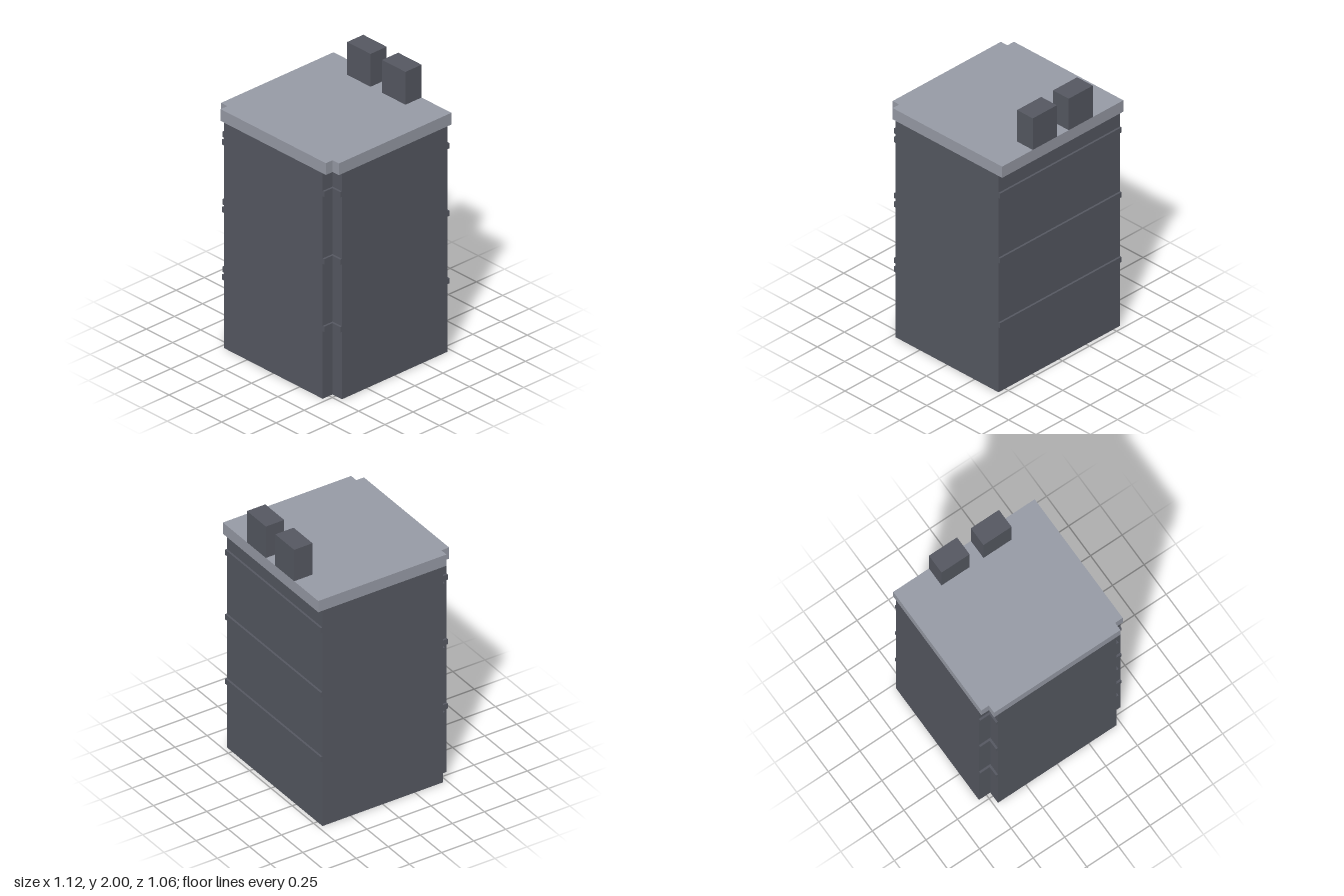
import * as THREE from 'three';

// Extrude a floor plan of [x, z] points upward from y0 to y1
function extrudePlan(points, y0, y1) {
  const shape = new THREE.Shape(points.map(([x, z]) => new THREE.Vector2(x, -z)));
  const geo = new THREE.ExtrudeGeometry(shape, { depth: y1 - y0, bevelEnabled: false });
  geo.rotateX(-Math.PI / 2);
  geo.translate(0, y0, 0);
  return geo;
}

// Rectangular plan with both front corners notched out
function notchedPlan(side, back, front, notchX, notchZ) {
  return [
    [-side, back], [side, back], [side, notchZ], [notchX, notchZ],
    [notchX, front], [-notchX, front], [-notchX, notchZ], [-side, notchZ],
  ];
}

export function createModel() {
  const model = new THREE.Group();
  const darkGrey = new THREE.MeshStandardMaterial({ color: 0x565962 });
  darkGrey.name = 'darkGrey';
  const lightGrey = new THREE.MeshStandardMaterial({ color: 0x989ca7 });
  lightGrey.name = 'lightGrey';

  function add(name, geometry, material) {
    const mesh = new THREE.Mesh(geometry, material);
    mesh.name = name;
    model.add(mesh);
  }

  const side = 0.56, front = 0.557, back = -0.47, notch = 0.47, lip = 0.015;

  // Tower body and overhanging roof slab
  add('body', extrudePlan(notchedPlan(side, back, front, notch, notch), 0, 1.67), darkGrey);
  add('roofSlab', extrudePlan(notchedPlan(side, -0.503, front, 0.5, 0.497), 1.67, 1.757), lightGrey);

  // Thin ledges across the back and inside the front corner notches
  for (const y of [0.5, 1.0, 1.5]) {
    const top = y + 0.04;
    add('backLedge', extrudePlan(
      [[-side, back - lip], [side, back - lip], [side, back], [-side, back]], y, top), darkGrey);
    for (const s of [-1, 1]) {
      const corner = [
        [notch, notch], [side, notch], [side, notch + lip],
        [notch + lip, notch + lip], [notch + lip, front], [notch, front],
      ].map(([x, z]) => [s * x, z]);
      add(s > 0 ? 'leftCornerLedge' : 'rightCornerLedge', extrudePlan(corner, y, top), darkGrey);
    }
  }

  // Two rooftop blocks along the back edge
  for (const s of [-1, 1]) {
    const block = new THREE.BoxGeometry(0.222, 0.243, 0.143);
    block.translate(s * 0.166, 1.8785, -0.4315);
    add(s > 0 ? 'leftRoofBlock' : 'rightRoofBlock', block, darkGrey);
  }

  return model;
}
